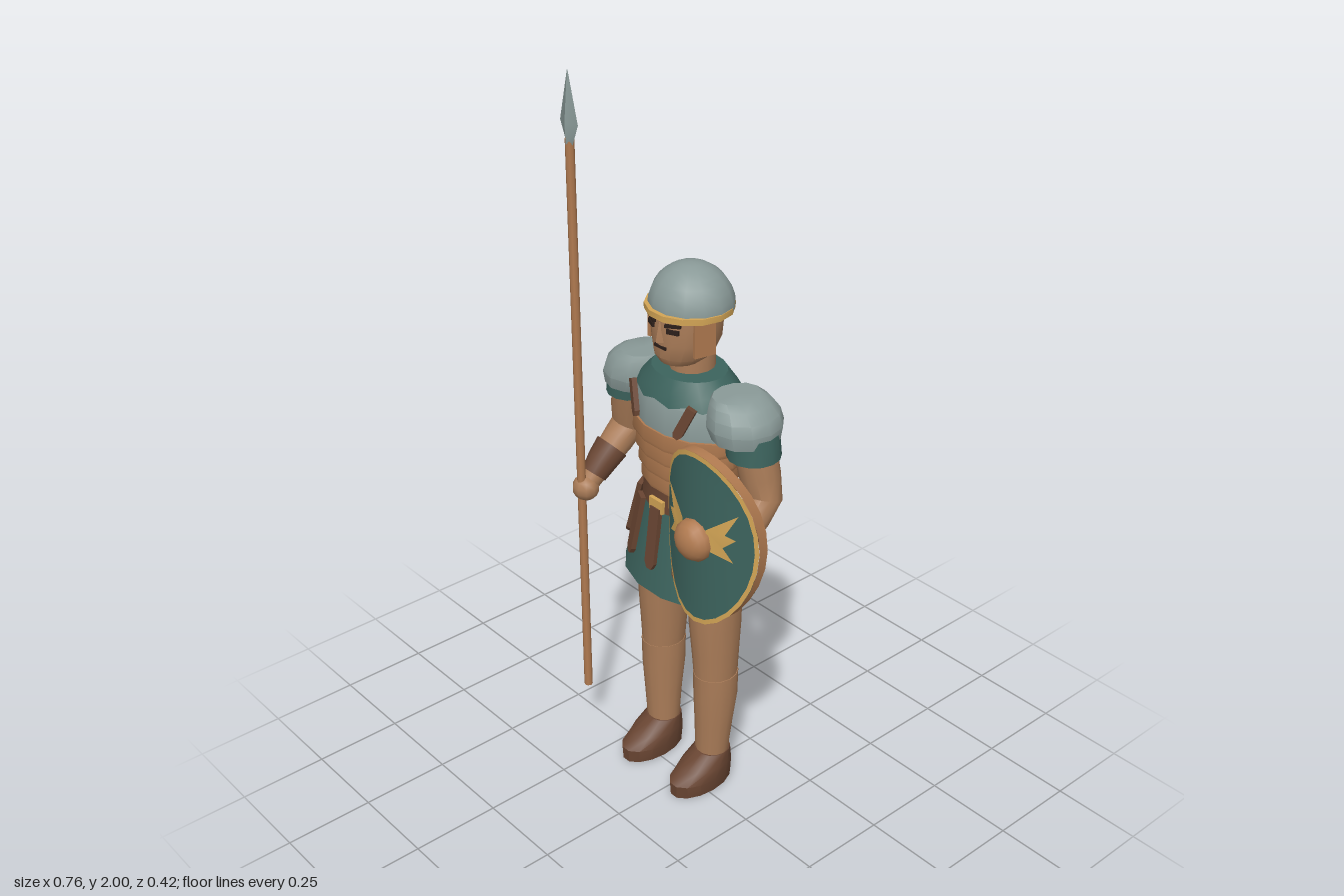
import * as THREE from 'three';
import { toCreasedNormals } from 'three/addons/utils/BufferGeometryUtils.js';

const paint = (name, color, opts = {}) => Object.assign(new THREE.MeshStandardMaterial({ color, ...opts }), { name });
const both = { side: THREE.DoubleSide };

export function createModel() {
  const steel = paint('steel', 0x8a9a98);
  const cloth = paint('green cloth', 0x3c635d, both);
  const skin = paint('skin', 0xaa7c58);
  const tan = paint('tan leather', 0xb07a50);
  const leather = paint('brown leather', 0x694532);
  const gold = paint('gold', 0xd2a455, both);
  const dark = paint('dark', 0x2c1f1a);

  const model = new THREE.Group();
  model.name = 'soldier';
  const body = new THREE.Group();
  body.name = 'body';
  body.position.set(-0.062, 0, -0.065);
  model.add(body);

  const add = (name, geo, mat, parent = body) => {
    const mesh = new THREE.Mesh(geo, mat);
    mesh.name = name;
    parent.add(mesh);
    return mesh;
  };

  // Skin over elliptical rings [x, y, z, rx, rz], listed from bottom to top
  function loft(rings, { sides = 14, follow = false, caps = true, jag = 0 } = {}) {
    const pos = [], idx = [], up = new THREE.Vector3(0, 1, 0), q = new THREE.Quaternion();
    const centre = (i) => new THREE.Vector3(...rings[i].slice(0, 3));
    const last = rings.length - 1;
    rings.forEach(([, , , rx, rz = rx], k) => {
      const dir = centre(Math.min(k + 1, last)).sub(centre(Math.max(k - 1, 0))).normalize();
      q.setFromUnitVectors(up, follow ? dir : up);
      for (let i = 0; i < sides; i++) {
        const a = (i / sides) * Math.PI * 2;
        const y = k === 0 && i % 2 ? jag : 0;
        const p = new THREE.Vector3(Math.cos(a) * rx, y, Math.sin(a) * rz).applyQuaternion(q).add(centre(k));
        pos.push(p.x, p.y, p.z);
      }
    });
    const bottom = pos.length / 3, top = bottom + 1, end = last * sides;
    pos.push(...centre(0).toArray(), ...centre(last).toArray());
    for (let i = 0; i < sides; i++) {
      const j = (i + 1) % sides;
      for (let k = 0; k < last; k++) {
        const a = k * sides + i, b = k * sides + j;
        idx.push(a, a + sides, b, b, a + sides, b + sides);
      }
      if (caps) idx.push(bottom, i, j, top, end + j, end + i);
    }
    const geo = new THREE.BufferGeometry();
    geo.setAttribute('position', new THREE.Float32BufferAttribute(pos, 3));
    geo.setIndex(idx);
    return toCreasedNormals(geo, 0.6);
  }

  // Pointed strip hanging from one point to another, its face turned outwards
  function strip(name, from, to, width, mat) {
    const a = new THREE.Vector3(...from), b = new THREE.Vector3(...to);
    const h = a.distanceTo(b), w = width / 2;
    const shape = new THREE.Shape([[-w, 0], [-w, -h + w], [-w / 2, -h], [w / 2, -h], [w, -h + w], [w, 0]]
      .map((p) => new THREE.Vector2(...p)));
    const geo = new THREE.ExtrudeGeometry(shape, { depth: 0.014, bevelEnabled: false });
    const y = a.clone().sub(b).normalize();
    const x = y.clone().cross(new THREE.Vector3(b.x * 0.6, 0, Math.max(b.z, 0.03))).normalize();
    const mesh = add(name, geo, mat);
    mesh.quaternion.setFromRotationMatrix(new THREE.Matrix4().makeBasis(x, y, x.clone().cross(y)));
    mesh.position.copy(a);
  }

  // Torso, collar, belt and skirt
  add('chestPlate', loft([[0, 0.9, 0, 0.125, 0.1], [0, 1.08, 0, 0.165, 0.114], [0, 1.13, 0, 0.17, 0.12],
    [0, 1.2, 0, 0.156, 0.115], [0, 1.25, 0, 0.115, 0.095]]), steel);
  for (let i = 0; i < 4; i++) {
    const y = 0.937 + i * 0.046, rx = 0.146 + i * 0.01, rz = 0.109 + i * 0.005;
    add('waistBand', loft([[0, y, 0, rx, rz], [0, y + 0.01, 0, rx + 0.004, rz + 0.003],
      [0, y + 0.046, 0, rx + 0.003, rz]]), tan);
  }
  add('collar', loft([[0, 1.2, 0, 0.16, 0.119], [0, 1.235, 0, 0.142, 0.11], [0, 1.268, 0, 0.108, 0.09]],
    { sides: 20, jag: 0.014 }), cloth);
  add('belt', loft([[0, 0.88, 0, 0.143, 0.113], [0, 0.937, 0, 0.139, 0.109]]), leather);
  add('buckle', new THREE.BoxGeometry(0.052, 0.036, 0.012), gold).position.set(0, 0.897, 0.113);
  add('skirt', loft([[0, 0.64, 0, 0.215, 0.147], [0, 0.76, 0, 0.178, 0.131], [0, 0.9, 0, 0.134, 0.107]],
    { caps: false }), cloth);

  // Leather strips over the skirt
  for (let i = -2; i <= 2; i++) {
    const n = Math.abs(i), s = Math.sign(i);
    strip('skirtStrip', [s * [0, 0.072, 0.125][n], 0.89, [0.109, 0.096, 0.05][n]],
      [s * [0, 0.096, 0.182][n], 0.71, [0.132, 0.118, 0.05][n]], 0.036, leather);
  }

  // Head
  add('neck', loft([[0, 1.25, -0.01, 0.058, 0.062], [0, 1.34, -0.01, 0.056, 0.062]]), skin);
  add('head', loft([[0, 1.3, 0.03, 0.052, 0.056], [0, 1.32, 0.018, 0.075, 0.08], [0, 1.36, 0.01, 0.09, 0.089],
    [0, 1.4, 0.01, 0.096, 0.09], [0, 1.45, 0.005, 0.1, 0.09]], { sides: 16 }), skin);
  add('nose', loft([[0, 1.365, 0.093, 0.015, 0.018], [0, 1.375, 0.093, 0.014, 0.018],
    [0, 1.418, 0.092, 0.007, 0.009]], { sides: 4 }), skin);
  add('mouth', new THREE.BoxGeometry(0.042, 0.008, 0.008), dark).position.set(0, 1.351, 0.096);
  const dome = new THREE.SphereGeometry(1, 14, 7, 0, Math.PI * 2, 0, Math.PI / 2).scale(0.114, 0.112, 0.109);
  add('helmet', dome, steel).position.set(0, 1.438, -0.006);
  add('helmetBrim', loft([[0, 1.43, 0, 0.116, 0.114], [0, 1.446, 0, 0.116, 0.114]]), gold);

  // Paired parts
  for (const s of [-1, 1]) {
    const side = s < 0 ? 'right' : 'left';
    const limb = (name, rings, mat, opts) =>
      add(side + name, loft(rings.map(([x, ...r]) => [s * x, ...r]), opts), mat);

    const eye = add(side + 'Eye', new THREE.BoxGeometry(0.034, 0.012, 0.008), dark);
    eye.position.set(s * 0.04, 1.402, 0.091);
    eye.rotation.y = s * 0.4;
    const brow = add(side + 'Brow', new THREE.BoxGeometry(0.044, 0.008, 0.009), dark);
    brow.position.set(s * 0.04, 1.418, 0.091);
    brow.rotation.set(0, s * 0.4, s * 0.12);
    const guard = add(side + 'CheekGuard', new THREE.BoxGeometry(0.009, 0.095, 0.06), tan);
    guard.position.set(s * 0.092, 1.385, 0.032);
    guard.rotation.y = s * -0.2;
    strip(side + 'ChestStrap', [s * 0.112, 1.218, 0.087], [s * 0.075, 1.13, 0.108], 0.026, leather);

    // Arms, listed from the hand up
    limb('ShoulderPad', [[0.21, 1.15, -0.005, 0.084, 0.094], [0.203, 1.185, -0.005, 0.096, 0.102],
      [0.198, 1.215, -0.005, 0.09, 0.096], [0.188, 1.24, -0.003, 0.075, 0.083],
      [0.177, 1.255, 0, 0.055, 0.068]], steel, { sides: 12 });
    limb('Sleeve', [[0.238, 1.105, -0.005, 0.069, 0.071], [0.228, 1.17, -0.005, 0.069, 0.072]], cloth);
    limb('Arm', [[0.274, 0.85, 0.122, 0.029], [0.274, 0.895, 0.08, 0.037], [0.27, 0.95, 0.022, 0.045],
      [0.266, 0.99, -0.015, 0.049], [0.255, 1.05, -0.012, 0.053], [0.235, 1.14, -0.005, 0.056]],
      skin, { follow: true });
    limb('Bracer', [[0.274, 0.868, 0.106, 0.036], [0.274, 0.9, 0.076, 0.043], [0.272, 0.933, 0.042, 0.048]],
      leather, { follow: true });
    const hand = add(side + 'Hand', new THREE.SphereGeometry(0.038, 10, 7), skin);
    hand.position.set(s * 0.274, 0.838, 0.135);

    // Legs and shoes
    limb('Thigh', [[0.11, 0.35, 0, 0.057, 0.062], [0.108, 0.44, 0, 0.062, 0.068],
      [0.106, 0.53, 0, 0.067, 0.075], [0.102, 0.66, 0, 0.072, 0.08], [0.09, 0.78, 0, 0.075, 0.08]], skin);
    limb('Shin', [[0.104, 0.08, 0.008, 0.047, 0.044], [0.108, 0.2, 0.004, 0.053, 0.054],
      [0.11, 0.29, 0, 0.059, 0.063], [0.11, 0.37, 0, 0.06, 0.065]], skin);
    limb('Shoe', [[0.105, 0, 0.05, 0.056, 0.103], [0.105, 0.04, 0.05, 0.061, 0.105],
      [0.105, 0.07, 0.032, 0.059, 0.084], [0.105, 0.106, 0.006, 0.05, 0.052]], leather);
  }

  // Spear
  const spear = new THREE.Group();
  spear.name = 'spear';
  spear.position.set(-0.335, 0, 0.085);
  model.add(spear);
  add('spearShaft', new THREE.CylinderGeometry(0.012, 0.012, 1.65, 8).translate(0, 1.005, 0), tan, spear);
  add('spearHead', loft([[0, 1.815, 0, 0.012], [0, 1.87, 0, 0.035, 0.014], [0, 2, 0, 0.001]], { sides: 4 }), steel, spear);

  // Oval shield, curved around its upright axis
  const shield = new THREE.Group();
  shield.name = 'shield';
  shield.position.set(0.22, 0.975, 0.167);
  shield.rotation.y = 0.04;
  model.add(shield);
  const bend = (geo, z) => {
    const p = geo.attributes.position;
    for (let i = 0; i < p.count; i++) p.setZ(i, p.getZ(i) + z - 2.5 * p.getX(i) ** 2);
    geo.computeVertexNormals();
    return geo;
  };
  const oval = (geo, z) => bend(geo.scale(0.16, 0.243, 1), z);
  add('shieldFace', oval(new THREE.RingGeometry(0.001, 0.95, 28, 6), 0), cloth, shield);
  add('shieldRim', oval(new THREE.RingGeometry(0.945, 1, 28, 1), 0.001), gold, shield);
  add('shieldEdge', oval(new THREE.CylinderGeometry(1, 1, 0.028, 28, 1, true).rotateX(Math.PI / 2), -0.014), tan, shield);
  add('shieldBack', oval(new THREE.RingGeometry(0.001, 1, 28, 6).rotateY(Math.PI), -0.028), leather, shield);
  const boss = new THREE.SphereGeometry(0.057, 12, 5, 0, Math.PI * 2, 0, Math.PI / 2).rotateX(Math.PI / 2).scale(1, 1, 0.78);
  add('shieldBoss', boss, tan, shield);
  const wing = [[0.12, 0.105], [0.09, 0.045], [0.115, 0.035], [0.085, 0.008], [0.11, -0.03], [0.045, -0.012], [0.04, 0.045]];
  for (const s of [-1, 1]) {
    const shape = new THREE.Shape(wing.map(([x, y]) => new THREE.Vector2(s * x, y)));
    add('shieldWing', bend(new THREE.ShapeGeometry(shape), 0.006), gold, shield);
  }
  return model;
}
